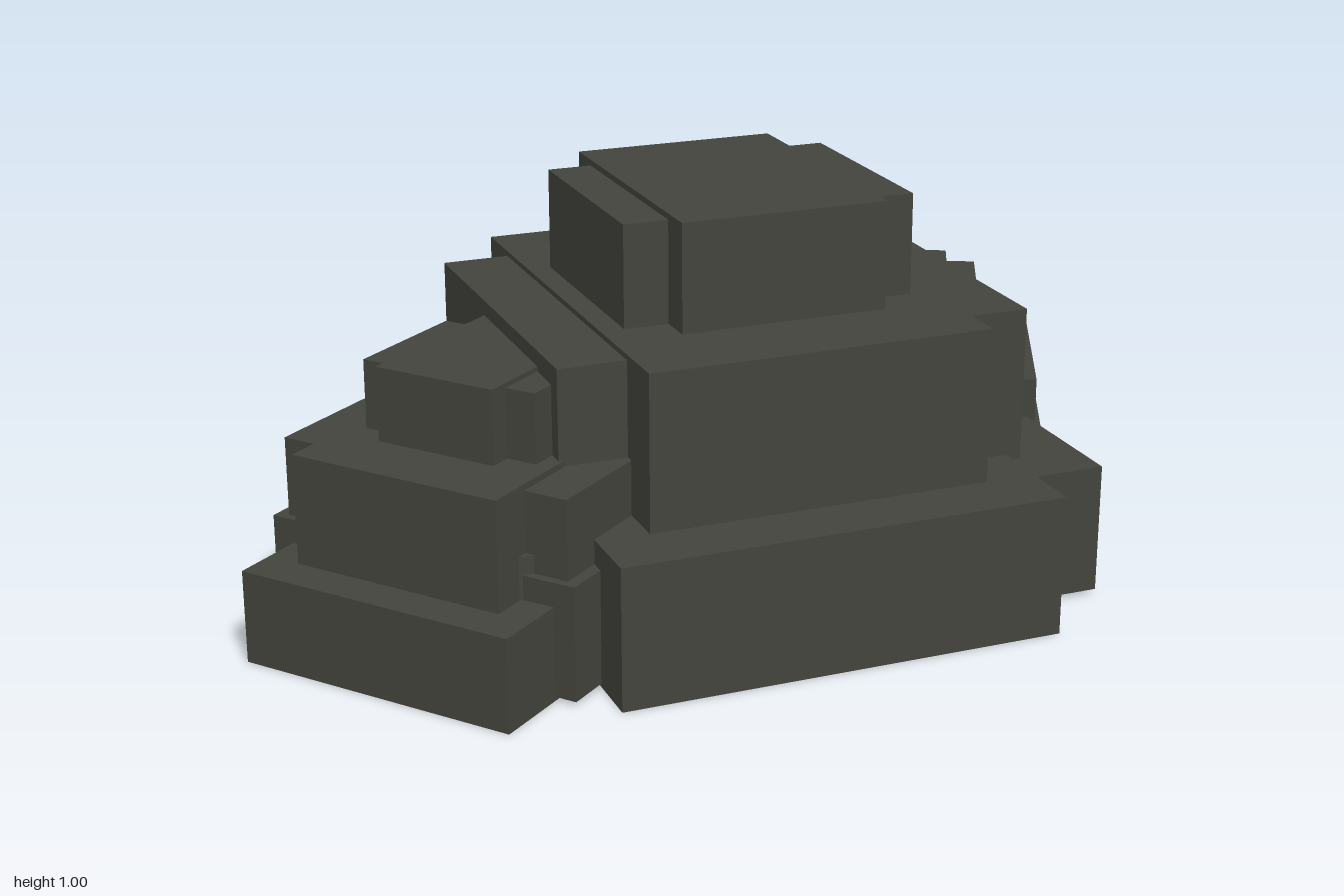
import * as THREE from 'three';

// Each mound is a stack of tiers; each tier is a long slab crossed by a wide slab.
// Slab: [width, depth, bottom, top]
const MOUNDS = [
  {
    name: 'mainMound', x: 0.072, z: -0.06, turn: 0.45,
    tiers: [
      [[1.11, 1.478, 0, 0.35], [1.508, 1.13, 0.01, 0.335]],
      [[0.855, 1.167, 0.33, 0.733], [1.19, 0.887, 0.33, 0.72]],
      [[0.518, 0.711, 0.7, 1.0], [0.74, 0.536, 0.7, 0.985]],
    ],
  },
  {
    name: 'leftFrontMound', x: -0.46, z: 0.37, turn: -0.45,
    tiers: [
      [[0.73, 0.975, 0, 0.23], [0.84, 0.6, 0.01, 0.29]],
      [[0.558, 0.78, 0.22, 0.5], [0.78, 0.558, 0.22, 0.485]],
      [[0.32, 0.442, 0.47, 0.682], [0.474, 0.332, 0.47, 0.67]],
    ],
  },
  {
    name: 'rightBackMound', x: 0.472, z: -0.5, turn: 0,
    tiers: [
      [[0.57, 0.8, 0, 0.28], [0.816, 0.59, 0.01, 0.262]],
      [[0.546, 0.735, 0.25, 0.45], [0.764, 0.57, 0.25, 0.437]],
      [[0.315, 0.45, 0.42, 0.625], [0.465, 0.338, 0.42, 0.612]],
    ],
  },
];

export function createModel() {
  const model = new THREE.Group();
  model.name = 'rockPile';
  const stone = new THREE.MeshStandardMaterial({ color: 0x44443d });
  stone.name = 'dark stone';

  for (const { name, x, z, turn, tiers } of MOUNDS) {
    const mound = new THREE.Group();
    mound.name = name;
    mound.position.set(x, 0, z);
    mound.rotation.y = turn;
    tiers.forEach((slabs, level) => {
      slabs.forEach(([width, depth, bottom, top], i) => {
        const slab = new THREE.Mesh(new THREE.BoxGeometry(width, top - bottom, depth), stone);
        slab.position.y = (bottom + top) / 2;
        slab.name = `${['lower', 'middle', 'upper'][level]}${i ? 'Wide' : 'Long'}Slab`;
        mound.add(slab);
      });
    });
    model.add(mound);
  }
  return model;
}
